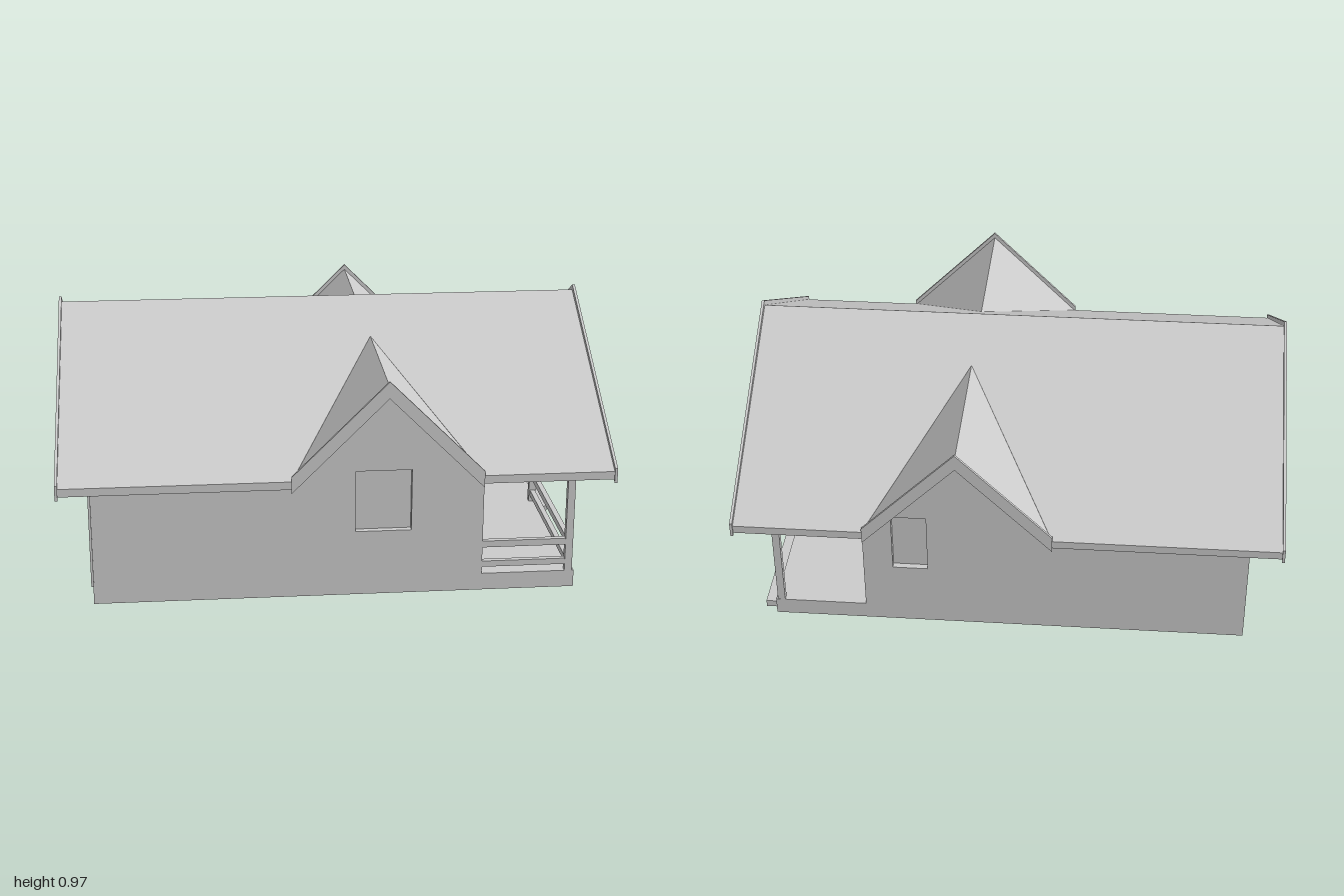
import * as THREE from 'three';

const mat = new THREE.MeshStandardMaterial({ color: 0xcccccc, side: THREE.DoubleSide, flatShading: true });

// Main dimensions
const HALF_LEN = 0.995, EAVE = 0.795, RIDGE = 0.95, PITCH = 0.57, ROOF_T = 0.03;
const LEFT = -0.885, RIGHT = 0.54, DEPTH = 0.685, PORCH = 0.885, DECK = 0.065;
const GABLE_X = 0.175, GABLE_Y = 0.84, GABLE_HALF = 0.345, GABLE_IN = (RIDGE - GABLE_Y) / PITCH;

const roofY = z => RIDGE - PITCH * Math.abs(z);
const gableY = x => GABLE_Y - Math.abs(x - GABLE_X);

function mesh(name, geometry) {
  const m = new THREE.Mesh(geometry, mat);
  m.name = name;
  return m;
}

// Box given by its minimum and maximum corners
function box(name, [x0, y0, z0], [x1, y1, z1]) {
  const m = mesh(name, new THREE.BoxGeometry(x1 - x0, y1 - y0, z1 - z0));
  m.position.set((x0 + x1) / 2, (y0 + y1) / 2, (z0 + z1) / 2);
  return m;
}

const toPoints = list => list.map(([x, y]) => new THREE.Vector2(x, y));

function extrude(outline, depth, holes = []) {
  const shape = new THREE.Shape(toPoints(outline));
  for (const h of holes) shape.holes.push(new THREE.Path(toPoints(h)));
  return new THREE.ExtrudeGeometry(shape, { depth, bevelEnabled: false });
}

const rect = ([a, b, c, d]) => [[a, b], [c, b], [c, d], [a, d]];

// Roof slab: a plan outline in x,z lifted to a height rule
function slab(name, plan, height) {
  const g = extrude(plan.map(([x, z]) => [x, -z]), ROOF_T);
  const p = g.attributes.position;
  for (let i = 0; i < p.count; i++) {
    const x = p.getX(i), z = -p.getY(i), t = p.getZ(i);
    p.setXYZ(i, x, height(x, z) - ROOF_T + t, z);
  }
  g.computeVertexNormals();
  return mesh(name, g);
}

// Upright wall facing +z, with its openings filled by recessed panels
function wall(name, outline, openings) {
  const g = new THREE.Group();
  g.name = name;
  const panel = mesh(name + 'Panel', extrude(outline, 0.01, openings.map(o => rect(o.rect))));
  panel.position.z = -0.01;
  g.add(panel);
  for (const { name: part, rect: [a, b, c, d] } of openings) {
    const e = 0.012;
    const frame = mesh(part + 'Frame',
      extrude(rect([a - e, b - e, c + e, d + e]), 0.025, [rect([a, b, c, d])]));
    frame.position.z = -0.03;
    g.add(frame, box(part + 'Pane', [a, b, -0.03], [c, d, -0.024]));
  }
  return g;
}

// Chevron board along a gable, facing z
const chevron = (cx, top, half, slope, h) => extrude([
  [cx - half, top - half * slope], [cx - half, top - half * slope - h], [cx, top - h],
  [cx + half, top - half * slope - h], [cx + half, top - half * slope], [cx, top]], 0.01);

export function createModel() {
  const house = new THREE.Group();
  house.name = 'house';

  // Long walls, each rising into a cross gable
  const wallTop = roofY(DEPTH) - ROOF_T + 0.01;
  const peak = GABLE_Y - ROOF_T + 0.01;
  const longOutline = s => [
    [s > 0 ? LEFT : -RIGHT, 0], [s > 0 ? RIGHT : -LEFT, 0], [s > 0 ? RIGHT : -LEFT, wallTop],
    [s * GABLE_X + peak - wallTop, wallTop], [s * GABLE_X, peak],
    [s * GABLE_X - peak + wallTop, wallTop], [s > 0 ? LEFT : -RIGHT, wallTop]];
  const front = wall('frontWall', longOutline(1), [{ name: 'frontWindow', rect: [0.07, 0.25, 0.275, 0.485] }]);
  front.position.z = DEPTH;
  const back = wall('backWall', longOutline(-1), [{ name: 'backWindow', rect: [-0.43, 0.25, -0.3, 0.485] }]);
  back.position.z = -DEPTH;
  back.rotation.y = Math.PI;

  // End walls under the main ridge
  const endOutline = [[-DEPTH, 0], [DEPTH, 0], [DEPTH, wallTop], [0, RIDGE - ROOF_T + 0.01], [-DEPTH, wallTop]];
  const left = wall('endWall', endOutline, [-1, 1].map(s => ({
    name: 'endWindow', rect: [s * 0.325 - 0.105, 0.25, s * 0.325 + 0.105, 0.485] })));
  left.position.x = LEFT;
  left.rotation.y = -Math.PI / 2;
  const right = wall('porchWall', endOutline, [
    { name: 'porchWindow', rect: [-0.42, 0.25, -0.215, 0.485] },
    { name: 'door', rect: [0.025, DECK + 0.002, 0.195, 0.45] }]);
  right.position.x = RIGHT;
  right.rotation.y = Math.PI / 2;
  house.add(front, back, left, right);

  // Main roof slopes with a notch for each cross gable
  for (const s of [1, -1]) {
    const side = s > 0 ? 'front' : 'back';
    house.add(slab(side + 'Roof', [
      [-HALF_LEN, 0], [-HALF_LEN, s * EAVE], [GABLE_X - GABLE_HALF, s * EAVE], [GABLE_X, s * GABLE_IN],
      [GABLE_X + GABLE_HALF, s * EAVE], [HALF_LEN, s * EAVE], [HALF_LEN, 0]], (x, z) => roofY(z)));
    // Cross gable roof halves
    for (const k of [-1, 1]) {
      house.add(slab(side + 'GableRoof', [
        [GABLE_X, s * GABLE_IN], [GABLE_X, s * EAVE], [GABLE_X + k * GABLE_HALF, s * EAVE]], gableY));
    }
    const board = mesh(side + 'GableBoard', chevron(GABLE_X, 0.86, GABLE_HALF, 1, 0.062));
    board.position.z = s > 0 ? 0.79 : -0.8;
    house.add(board);
  }

  // Barge boards at both ends of the main roof
  for (const x of [-1, 0.99]) {
    const barge = mesh('bargeBoard', chevron(0, 0.97, 0.8, 0.575, 0.055));
    barge.rotation.y = Math.PI / 2;
    barge.position.x = x;
    house.add(barge);
  }

  // Porch deck and step
  house.add(box('porchDeck', [RIGHT, 0, -DEPTH], [PORCH, DECK, DEPTH]));
  house.add(box('porchStep', [PORCH, 0.005, -0.66], [0.93, 0.032, -0.01]));

  // Porch posts and head beam
  const P0 = 0.85, P1 = 0.878;
  for (const z of [-0.672, 0.672]) {
    house.add(box('porchPost', [P0, DECK, z - 0.012], [P1, 0.53, z + 0.012]));
  }
  house.add(box('ridgePost', [P0, DECK, -0.012], [P1, 0.93, 0.012]));
  house.add(box('porchBeam', [P0, 0.515, -DEPTH], [P1, 0.555, DEPTH]));

  // Railings on the front and on half of the open end
  for (const [y0, y1] of [[0.09, 0.113], [0.168, 0.193]]) {
    house.add(box('frontRail', [RIGHT, y0, 0.662], [P0, y1, 0.682]));
    house.add(box('endRail', [P0 + 0.004, y0, 0.012], [P1 - 0.004, y1, 0.662]));
  }

  // Eave brackets and corner strip
  for (const z of [-0.68, 0.68]) {
    house.add(box('eaveBracket', [-0.905, 0.44, z - 0.01], [LEFT, 0.53, z + 0.01]));
  }
  house.add(box('cornerStrip', [-0.892, 0.07, 0.675], [LEFT + 0.002, 0.5, 0.691]));
  return house;
}
